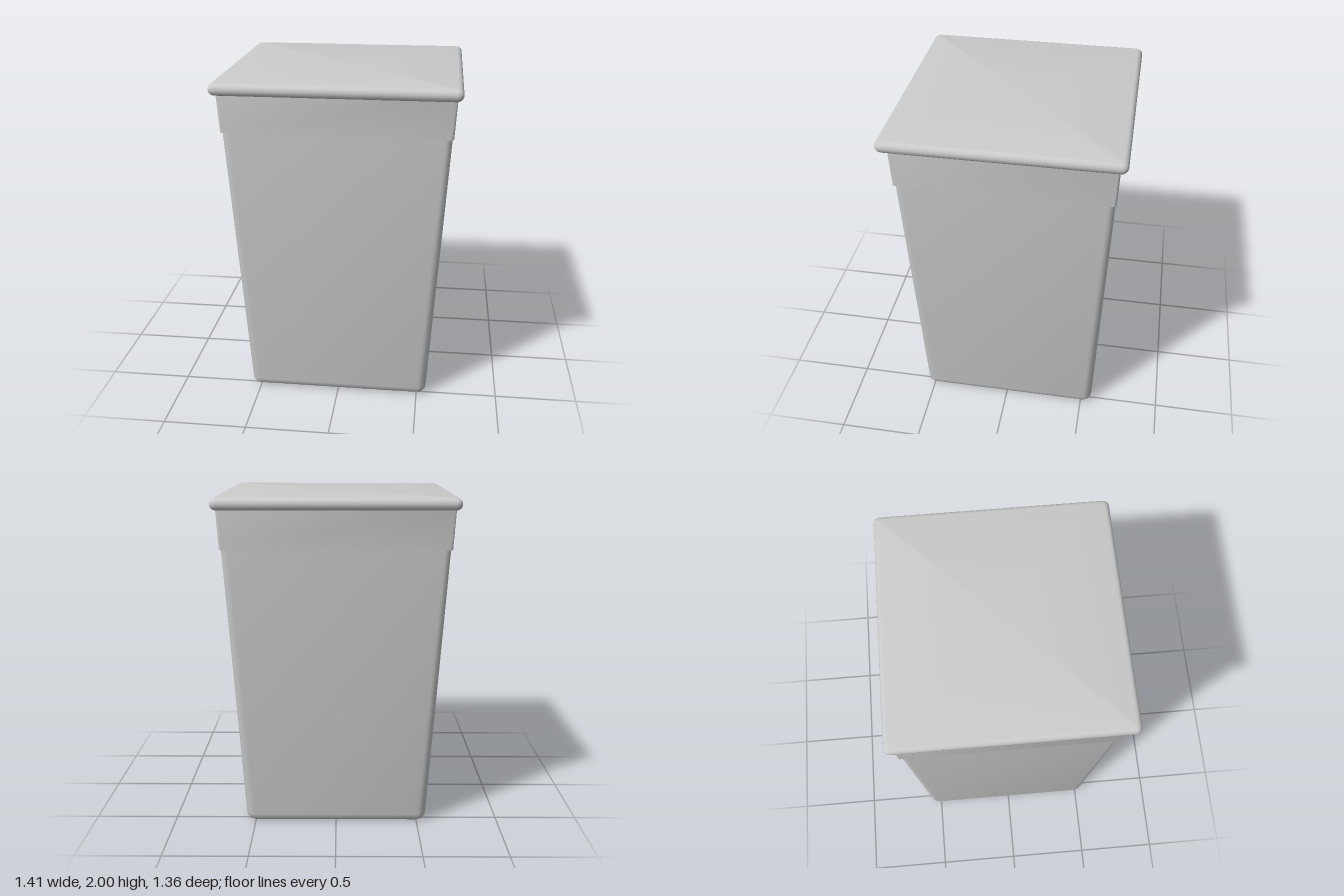
import * as THREE from 'three';
import { toCreasedNormals } from 'three/addons/utils/BufferGeometryUtils.js';

const CORNER_STEPS = 5;

// Rounded rectangle outline at height y, centred on z = zc
function ring({ y, hx, hz, r, zc }) {
  const points = [];
  const signs = [[1, 1], [-1, 1], [-1, -1], [1, -1]];
  signs.forEach(([sx, sz], q) => {
    for (let i = 0; i <= CORNER_STEPS; i++) {
      const a = (q + i / CORNER_STEPS) * Math.PI / 2;
      points.push([sx * (hx - r) + r * Math.cos(a), y, zc + sz * (hz - r) + r * Math.sin(a)]);
    }
  });
  return points;
}

// Closed solid lofted through sections listed from bottom to top
function loft(name, sections, zc, material) {
  const rings = sections.map(([y, hx, hz, r]) => ring({ y, hx, hz, r, zc }));
  const n = rings[0].length;
  const positions = rings.flat(2);
  const bottom = n * rings.length, top = bottom + 1;
  positions.push(0, sections[0][0], zc, 0, sections[sections.length - 1][0], zc);
  const index = [];
  for (let i = 0; i < n; i++) {
    const j = (i + 1) % n;
    for (let k = 0; k < rings.length - 1; k++) {
      const a = k * n + i, b = k * n + j;
      index.push(a, a + n, b, b, a + n, b + n);
    }
    const last = (rings.length - 1) * n;
    index.push(bottom, i, j, top, last + j, last + i);
  }
  const geometry = new THREE.BufferGeometry();
  geometry.setAttribute('position', new THREE.Float32BufferAttribute(positions, 3));
  geometry.setIndex(index);
  const mesh = new THREE.Mesh(toCreasedNormals(geometry, Math.PI / 5), material);
  mesh.name = name;
  return mesh;
}

export function createModel() {
  const group = new THREE.Group();
  group.name = 'bin';
  const material = new THREE.MeshStandardMaterial({ color: 0xcccccc });

  // Tapered body with a rounded bottom edge
  const body = [];
  const R = 0.05;
  for (let i = 0; i <= 4; i++) {
    const a = i / 4 * Math.PI / 2;
    const inset = R * (1 - Math.sin(a));
    body.push([R * (1 - Math.cos(a)), 0.558 - inset, 0.556 - inset, 0.055 - inset * 0.6]);
  }
  body.push([1.75, 0.658, 0.617, 0.04]);
  group.add(loft('body', body, -0.012, material));

  // Collar band that overlaps the top of the body
  group.add(loft('collar', [
    [1.705, 0.662, 0.621, 0.015],
    [1.95, 0.676, 0.628, 0.015],
  ], -0.012, material));

  // Flat lid with a rounded rim
  const lid = [];
  const H = 0.035;
  for (let i = 0; i <= 8; i++) {
    const a = -Math.PI / 2 + i / 8 * Math.PI;
    const inset = H * (1 - Math.cos(a)) * 0.9;
    lid.push([1.965 + H * Math.sin(a), 0.705 - inset, 0.681 - inset, 0.036 - inset * 0.6]);
  }
  group.add(loft('lid', lid, 0, material));

  return group;
}
